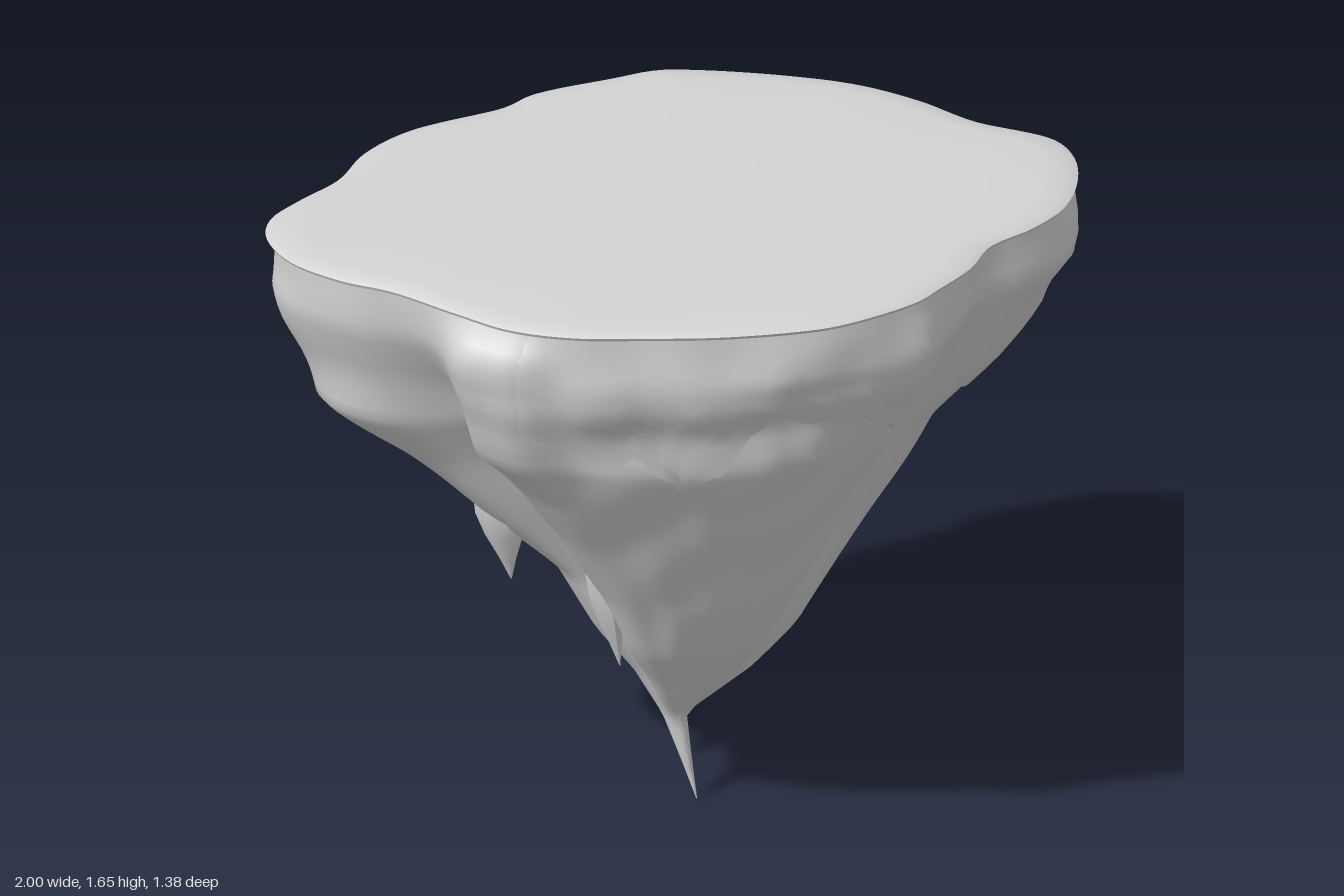
import * as THREE from 'three';
import { toCreasedNormals } from 'three/addons/utils/BufferGeometryUtils.js';

const SIDES = 200;
const rock = new THREE.MeshStandardMaterial({ color: 0xd4d4d4 });
rock.name = 'grey rock';

// Plan outline of the plateau, [x, z], starting at +x and turning towards +z
const OUTLINE = [
  [1, -0.05], [0.98, 0.08], [0.92, 0.2], [0.83, 0.28], [0.71, 0.35], [0.64, 0.45], [0.54, 0.54], [0.48, 0.59],
  [0.27, 0.67], [0.15, 0.68], [-0.03, 0.67], [-0.2, 0.64], [-0.38, 0.6], [-0.52, 0.53],
  [-0.63, 0.42], [-0.76, 0.28], [-0.87, 0.2], [-0.97, 0.08], [-1, -0.05], [-0.97, -0.14],
  [-0.88, -0.22], [-0.77, -0.3], [-0.68, -0.42], [-0.55, -0.51], [-0.3, -0.58], [-0.22, -0.63], [-0.02, -0.67],
  [0.1, -0.69], [0.2, -0.67], [0.4, -0.6], [0.56, -0.52], [0.69, -0.41], [0.8, -0.28], [0.97, -0.15],
];
const ring = new THREE.CatmullRomCurve3(OUTLINE.map(([x, z]) => new THREE.Vector3(x, 0, z)), true)
  .getSpacedPoints(SIDES).slice(0, SIDES);

// Share of the plan reached at each height: [y, +x, -x, +z, -z]
const PROFILE = [
  [1.62, 0.985, 0.98, 0.98, 0.985], [1.48, 0.99, 0.975, 1.005, 0.99], [1.4, 0.94, 0.95, 0.985, 0.92],
  [1.32, 0.9, 0.92, 0.92, 0.83], [1.2, 0.8, 0.88, 0.89, 0.74], [1.05, 0.66, 0.69, 0.77, 0.6],
  [0.87, 0.55, 0.5, 0.63, 0.45], [0.66, 0.42, 0.29, 0.47, 0.325], [0.48, 0.315, 0.19, 0.31, 0.2],
  [0.36, 0.2, 0.1, 0.17, 0.135], [0.23, 0.03, 0.03, 0.03, 0.04], [0.12, 0.015, 0.015, 0.022, 0.022],
  [0, 0.001, 0.001, 0.001, 0.001],
];

// Height of the ragged lower edge of the crust, every 10 degrees
const EDGE = [
  1.1, 1.12, 1.2, 1.17, 1.3, 1.24, 1.33, 1.33, 1.38, 1.22, 1.14, 1.26, 1.2, 1.3, 1.38, 1.3, 1.3, 1.3,
  1.3, 1.3, 1.34, 1.3, 1.3, 1.36, 1.38, 1.3, 1.25, 1.3, 1.35, 1.38, 1.3, 1.26, 1.3, 1.36, 1.35, 1.15,
];

// Vertical gullies: [angle in degrees, depth, width in degrees]
const GULLIES = [[155, 0.17, 7], [28, 0.08, 8], [-16, 0.05, 6], [-62, 0.05, 8], [-100, 0.05, 7], [-153, 0.08, 8], [72, 0.03, 5]];
// Knobs jutting out below the rim: [angle in degrees, height, width in degrees]
const KNOBS = [[133, 0.07, 6], [143, 0.06, 6], [48, 0.025, 5], [-53, 0.012, 6], [-141, 0.04, 5], [-168, 0.04, 5], [6, 0.012, 5]];

const { lerp, smoothstep } = THREE.MathUtils;
const bell = (deg, centre, width) => Math.exp(-(((((deg - centre + 540) % 360) - 180) / width) ** 2));

function reach(y, a) {
  let i = 0;
  while (i < PROFILE.length - 2 && PROFILE[i + 1][0] > y) i++;
  const p = PROFILE[i], q = PROFILE[i + 1];
  const t = (p[0] - y) / (p[0] - q[0]);
  const at = (k) => lerp(p[k], q[k], t);
  const c = Math.cos(a), s = Math.sin(a);
  return c * c * at(c > 0 ? 1 : 2) + s * s * at(s > 0 ? 3 : 4);
}

// Gullies, knobs and lumps shaping the rock
function carve(y, a) {
  const deg = THREE.MathUtils.radToDeg(a);
  const deep = smoothstep(1.6 - y, 0, 0.45) * smoothstep(y, 0.2, 0.6);
  const high = smoothstep(y, 1, 1.38) * (1 - smoothstep(y, 1.52, 1.62));
  let f = 1;
  for (const [at, depth, width] of GULLIES) f -= depth * (0.1 + 0.9 * deep) * bell(deg - 3 * Math.sin(y * 3.1 + at), at, width);
  for (const [at, height, width] of KNOBS) f += height * high * bell(deg, at, width);
  const lumps = Math.sin(a * 9 + y * 4) * Math.sin(y * 13 + a * 2) + 0.7 * Math.sin(a * 17 - y * 6) + 0.6 * Math.sin(a * 5 + y * 21);
  return f + 0.009 * lumps * smoothstep(y, 0.15, 0.5) * (1 - 0.6 * smoothstep(y, 1.5, 1.62));
}

// The crust stands proud everywhere but on the -x flank, where it sinks into the core
const crustAt = (a) => smoothstep(Math.cos(a), -0.8, -0.5);

function edgeHeight(a) {
  const u = ((a / (Math.PI * 2) + 1) % 1) * 36;
  const i = Math.floor(u);
  return lerp(EDGE[i % 36], EDGE[(i + 1) % 36], u - i) + 0.01 * Math.sin(a * 43);
}

// Skin of stacked rings from top to bottom; place(row, point, angle) gives [x, y, z]
function loft(rows, place) {
  const pos = [], index = [];
  for (let i = 0; i < rows; i++) {
    ring.forEach((p, j) => {
      pos.push(...place(i, p, Math.atan2(p.z, p.x)));
      if (i === rows - 1) return;
      const k = (j + 1) % SIDES, r = i * SIDES, n = r + SIDES;
      index.push(r + j, r + k, n + j, r + k, n + k, n + j);
    });
  }
  const g = new THREE.BufferGeometry();
  g.setAttribute('position', new THREE.Float32BufferAttribute(pos, 3));
  g.setIndex(index);
  return toCreasedNormals(g, 0.8);
}

export function createModel() {
  const group = new THREE.Group();
  const add = (name, geometry) => {
    const mesh = new THREE.Mesh(geometry, rock);
    mesh.name = name;
    group.add(mesh);
  };

  // Tapering core, ending in a thin crooked tip
  const CORE_ROWS = 60;
  add('rockCore', loft(CORE_ROWS, (i, p, a) => {
    const y = 1.618 * (1 - i / (CORE_ROWS - 1));
    const s = reach(y, a) * carve(y, a) * (1 - 0.025 * crustAt(a) * smoothstep(y, 1.1, 1.35));
    const bend = Math.max(0, 1 - y / 0.23);
    return [p.x * s + 0.05 * bend, y, p.z * s + 0.025 * bend];
  }));

  // Overhanging crust with a ragged lower edge, tucked in at the bottom
  const CRUST_ROWS = 16;
  add('upperCrust', loft(CRUST_ROWS, (i, p, a) => {
    const t = Math.min(1, i / (CRUST_ROWS - 2));
    const y = lerp(1.618, edgeHeight(a), t);
    const proud = i === CRUST_ROWS - 1 ? -0.05 : lerp(-0.02, 0.01 * t, crustAt(a));
    const s = reach(y, a) * carve(y, a) + proud;
    return [p.x * s, y, p.z * s];
  }));

  // Gently domed plateau with a thin lip
  const LID = [[0.001, 1.648], [0.25, 1.647], [0.5, 1.643], [0.75, 1.638], [0.92, 1.634], [0.98, 1.63], [1, 1.622], [0.995, 1.614], [0.93, 1.608]];
  add('plateau', loft(LID.length, (i, p) => {
    const [s, y] = LID[i];
    const wave = i < 5 ? 0.002 * Math.sin(p.x * s * 9) * Math.cos(p.z * s * 11) : 0;
    return [p.x * s, y + wave, p.z * s];
  }));

  // Hanging spikes: [base x, y, z, tip x, y, z, half width x, half width z]
  const SPIKES = [
    [-0.44, 0.9, 0.02, -0.41, 0.66, 0.03, 0.07, 0.06],
    [-0.2, 0.7, 0.12, -0.16, 0.44, 0.12, 0.05, 0.05],
    [0.475, 0.9, -0.045, 0.47, 0.69, -0.035, 0.045, 0.055],
    [0.17, 0.87, -0.25, 0.17, 0.5, -0.22, 0.06, 0.075],
  ];
  for (const [x, y, z, tx, ty, tz, wx, wz] of SPIKES) {
    const g = new THREE.CylinderGeometry(0.9, 0.02, 1, 7, 4);
    const v = g.attributes.position;
    for (let i = 0; i < v.count; i++) {
      const t = 0.5 - v.getY(i);
      const swell = 1 + 0.5 * Math.sin(t * Math.PI);
      v.setXYZ(i, lerp(x, tx, t) + v.getX(i) * wx * swell, lerp(y, ty, t), lerp(z, tz, t) + v.getZ(i) * wz * swell);
    }
    add('hangingSpike', toCreasedNormals(g, 0.8));
  }
  return group;
}
